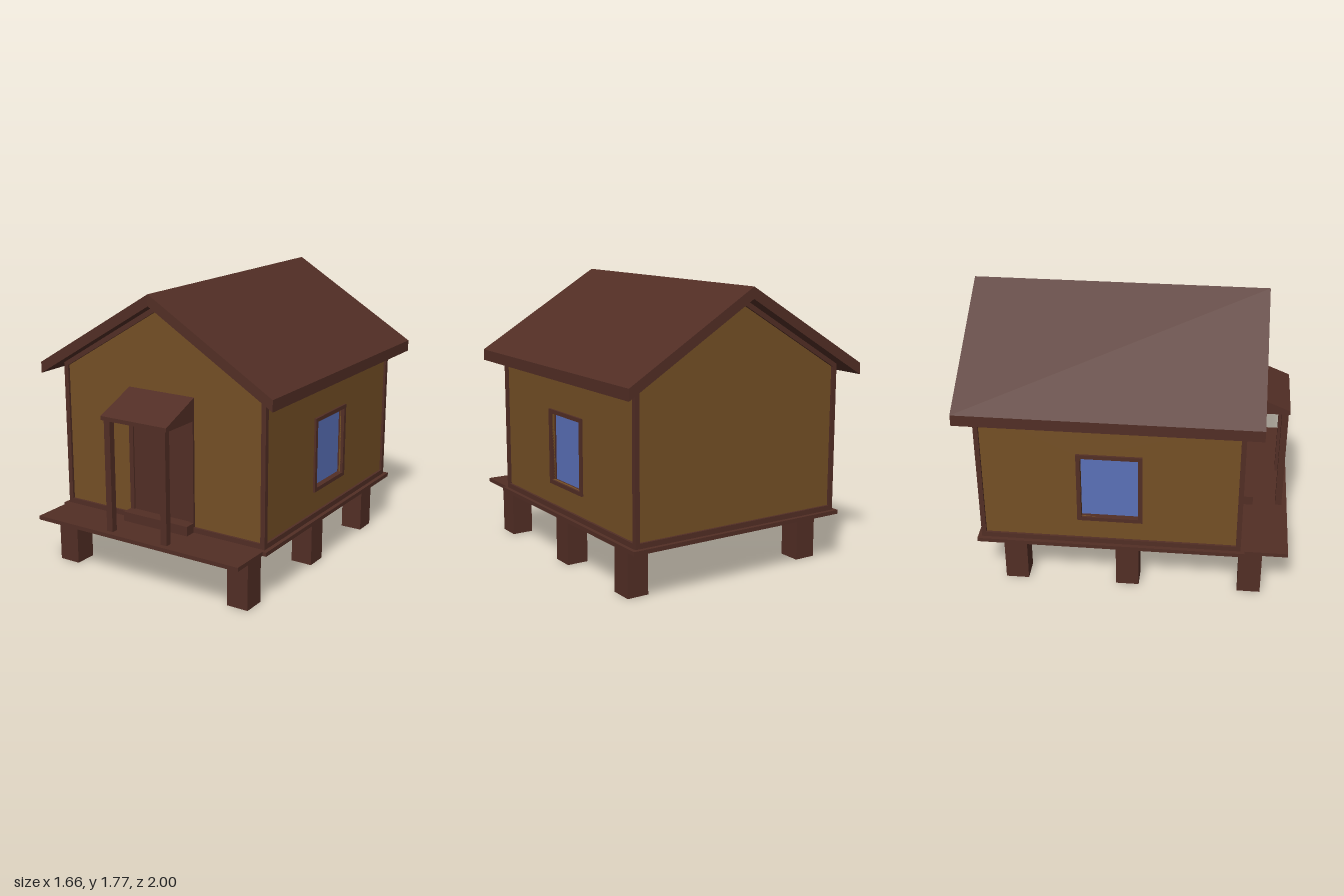
import * as THREE from 'three';

const wood = new THREE.MeshStandardMaterial({ color: 0x522e25 });
wood.name = 'dark brown wood';
const plaster = new THREE.MeshStandardMaterial({ color: 0x744f25 });
plaster.name = 'ochre wall';
const pane = new THREE.MeshStandardMaterial({ color: 0x5a70b8 });
pane.name = 'blue glass';

export function createModel() {
  const house = new THREE.Group();
  house.name = 'stiltHouse';

  const add = (name, geometry, material) => {
    const mesh = new THREE.Mesh(geometry, material);
    mesh.name = name;
    house.add(mesh);
    return mesh;
  };
  // box given by its limits on each axis
  const box = (name, material, x0, x1, y0, y1, z0, z1) => {
    const g = new THREE.BoxGeometry(x1 - x0, y1 - y0, z1 - z0);
    g.translate((x0 + x1) / 2, (y0 + y1) / 2, (z0 + z1) / 2);
    return add(name, g, material);
  };
  const outline = (pts) => pts.map(([x, y]) => new THREE.Vector2(x, y));
  const rect = (x0, x1, y0, y1) => outline([[x0, y0], [x1, y0], [x1, y1], [x0, y1]]);
  const plate = (pts, z0, z1, hole) => {
    const shape = new THREE.Shape(pts);
    if (hole) shape.holes.push(new THREE.Path(hole));
    const g = new THREE.ExtrudeGeometry(shape, { depth: z1 - z0, bevelEnabled: false });
    return g.translate(0, 0, z0);
  };
  const gable = (w, bottom, eave, ridge) =>
    outline([[-w, bottom], [w, bottom], [w, eave], [0, ridge], [-w, eave]]);

  // stilts, floor and porch deck
  for (const x of [-0.63, 0.63])
    for (const z of [0.773, 0.008, -0.697])
      box('stilt', wood, x - 0.07, x + 0.07, 0, 0.311, z - 0.072, z + 0.072);
  box('floor', wood, -0.755, 0.755, 0.31, 0.335, -0.925, 0.735);
  box('porchDeck', wood, -0.73, 0.73, 0.31, 0.335, 0.735, 1);

  // gable walls with their timber frames
  const outer = gable(0.73, 0.335, 1.26, 1.7);
  const inner = gable(0.7, 0.367, 1.245, 1.665);
  add('frontFrame', plate(outer, 0.68, 0.71, inner), wood);
  add('backFrame', plate(outer, -0.9, -0.87, inner), wood);
  add('frontWall', plate(inner, 0.685, 0.695), plaster);
  add('backWall', plate(inner, -0.885, -0.875), plaster);

  // side walls with beams and windows, drawn along z and turned to face outwards
  for (const s of [-1, 1]) {
    const side = (name, geometry, material) => {
      // shape x runs along -z for the +x wall and along +z for the -x wall
      add(name, geometry.rotateY(s * Math.PI / 2), material);
    };
    const span = (z0, z1, y0, y1) => (s > 0 ? rect(-z1, -z0, y0, y1) : rect(z0, z1, y0, y1));
    const opening = span(-0.27, 0.08, 0.525, 0.95);
    side('sideWall', plate(span(-0.875, 0.685, 0.36, 1.24), 0.7, 0.715, opening), plaster);
    side('sillBeam', plate(span(-0.87, 0.68, 0.335, 0.367), 0.69, 0.73), wood);
    side('eaveBeam', plate(span(-0.87, 0.68, 1.225, 1.258), 0.69, 0.73), wood);
    side('windowFrame', plate(span(-0.295, 0.105, 0.5, 0.975), 0.68, 0.728, opening), wood);
    side('windowGlass', plate(opening, 0.682, 0.69), pane);
  }

  // main roof
  const roof = outline([[-0.83, 1.2], [0, 1.7], [0.83, 1.2], [0.83, 1.27], [0, 1.77], [-0.83, 1.27]]);
  add('roof', plate(roof, -1, 0.81), wood);

  // door, surround and step
  box('door', wood, -0.21, 0.21, 0.335, 1.02, 0.69, 0.7);
  add('doorSurround', plate(rect(-0.235, 0.235, 0.335, 1.05), 0.685, 0.71,
    rect(-0.205, 0.205, 0.35, 1.02)), wood);
  box('doorStep', wood, -0.235, 0.235, 0.335, 0.395, 0.69, 0.78);

  // porch canopy and its posts
  const wedge = outline([[-0.975, 1.03], [-0.69, 1.03], [-0.69, 1.173], [-0.975, 1.055]]);
  add('porchRoof', plate(wedge, -0.235, 0.235).rotateY(Math.PI / 2), wood);
  for (const x of [-0.199, 0.199])
    box('porchPost', wood, x - 0.021, x + 0.021, 0.335, 1.03, 0.925, 0.966);

  return house;
}
